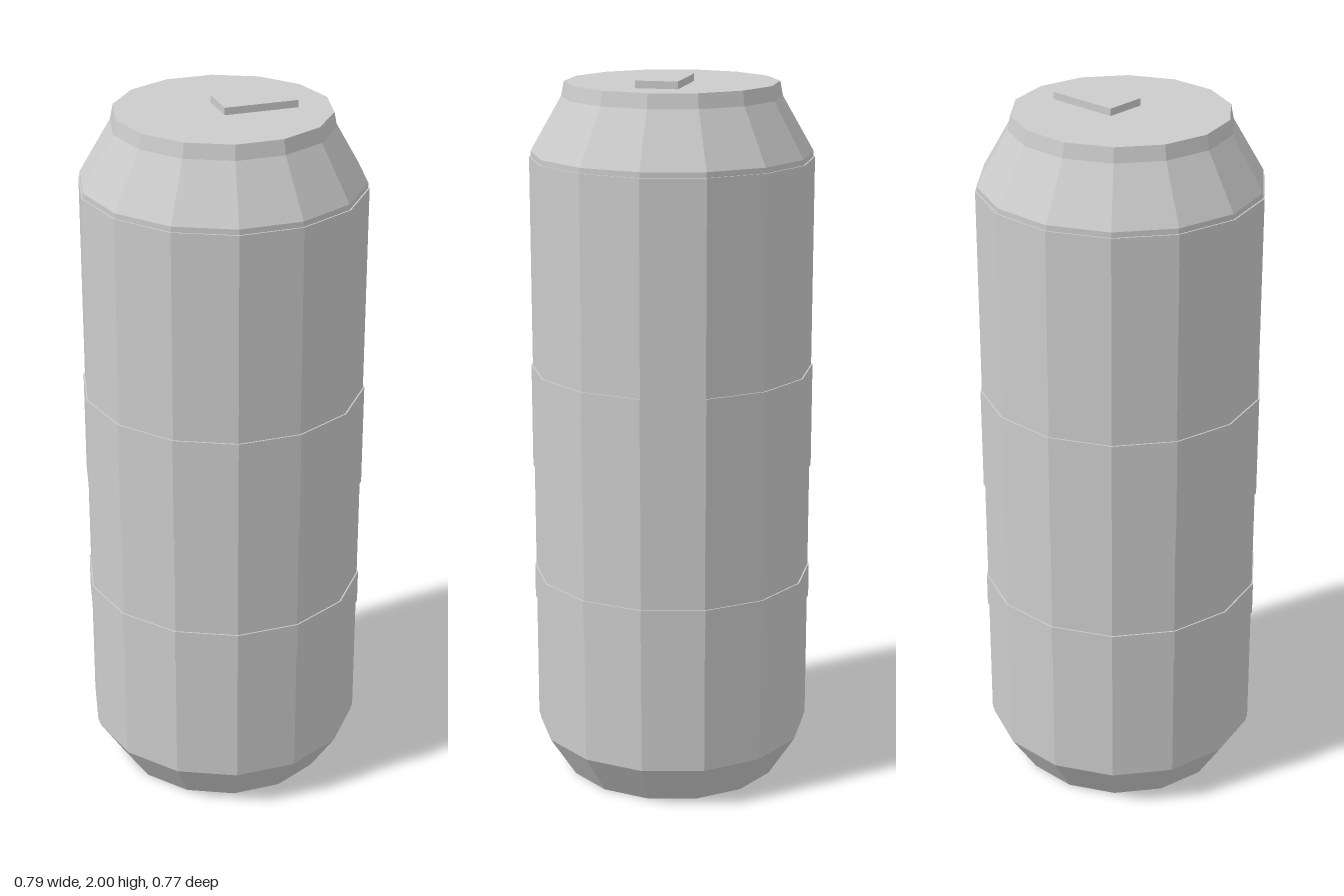
import * as THREE from 'three';

const SIDES = 14;

export function createModel() {
  const group = new THREE.Group();
  const material = new THREE.MeshStandardMaterial({ color: 0xcccccc, flatShading: true });

  const add = (name, geometry) => {
    const mesh = new THREE.Mesh(geometry, material);
    mesh.name = name;
    group.add(mesh);
    return mesh;
  };

  // Faceted ring section between two heights, with corners on the x axis
  const section = (name, y0, y1, r0, r1) => {
    const geometry = new THREE.CylinderGeometry(r1, r0, y1 - y0, SIDES, 1, false, Math.PI / 2);
    add(name, geometry).position.y = (y0 + y1) / 2;
  };

  // Can shell, from the tapered base to the lid
  section('base', 0, 0.12, 0.31, 0.387);
  section('lowerWall', 0.12, 0.14, 0.387, 0.387);
  section('body', 0.135, 1.775, 0.391, 0.391);
  section('upperWall', 1.77, 1.79, 0.387, 0.387);
  section('shoulder', 1.79, 1.94, 0.387, 0.301);
  section('lid', 1.94, 1.98, 0.301, 0.293);

  // Raised bands around the body
  section('wideBand', 0.895, 1.19, 0.395, 0.395);
  section('narrowBand', 0.5, 0.597, 0.395, 0.395);

  // Pull tab on the lid
  add('pullTab', new THREE.BoxGeometry(0.205, 0.03, 0.116)).position.set(0.0875, 1.985, 0);

  return group;
}
